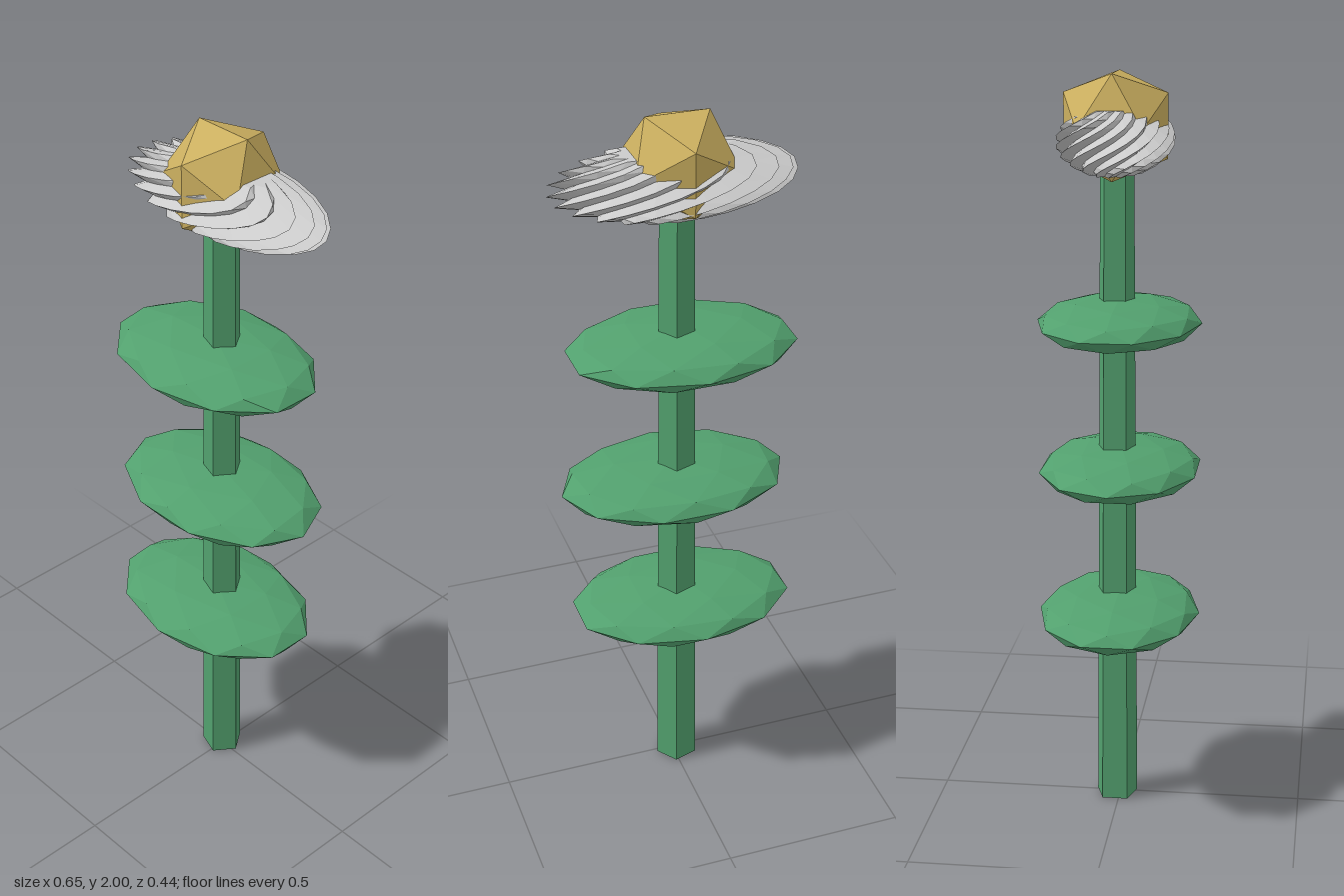
import * as THREE from 'three';

const material = (color) => new THREE.MeshStandardMaterial({ color, flatShading: true });

export function createModel() {
  const group = new THREE.Group();
  const green = material(0x52a06e);
  const gold = material(0xccb060);
  const grey = material(0xcccccc);

  const add = (name, geometry, mat, x, y, z) => {
    const mesh = new THREE.Mesh(geometry, mat);
    mesh.name = name;
    mesh.position.set(x, y, z);
    group.add(mesh);
  };

  // Five-sided tapering stem with one edge towards +x
  add('stem', new THREE.CylinderGeometry(0.047, 0.0585, 1.8, 5, 1, false, Math.PI / 2), green, -0.01, 0.9, -0.01);

  // Flattened faceted leaves; the middle one is turned by half a facet
  const leaves = [[0.55, -0.027, 0], [0.953, -0.003, Math.PI / 10], [1.355, -0.027, 0]];
  for (const [y, x, turn] of leaves) {
    const leaf = new THREE.IcosahedronGeometry(1, 1);
    leaf.rotateZ(Math.atan(2 / (1 + Math.sqrt(5)))); // a corner points straight up
    leaf.rotateY(turn);
    leaf.scale(0.313, 0.06, 0.219);
    add('leaf', leaf, green, x, y, 0);
  }

  // Spiky oval blossom: every other point of a rounded drum is pulled inwards
  const around = 30, half = 5;
  const petals = new THREE.CylinderGeometry(1, 1, 2, around, half * 2, false, Math.PI / 2);
  const p = petals.attributes.position;
  for (let i = 0; i < p.count; i++) {
    const x = p.getX(i), y = p.getY(i), z = p.getZ(i);
    const column = Math.round((Math.atan2(z, x) / (2 * Math.PI)) * around);
    const row = Math.round(y * half);
    const spike = (column + row) % 2 === 0 ? 1 : 0.84;
    const r = (1 - 0.5 * Math.abs(y) ** 2.2) * spike;
    p.setXYZ(i, x * r * 0.325, y * 0.082, z * r * 0.152);
  }
  petals.computeVertexNormals();
  add('petals', petals, grey, 0, 1.828, -0.012);

  // Faceted flower centre
  add('flowerCentre', new THREE.IcosahedronGeometry(0.16, 0), gold, -0.01, 1.864, -0.012);

  return group;
}
